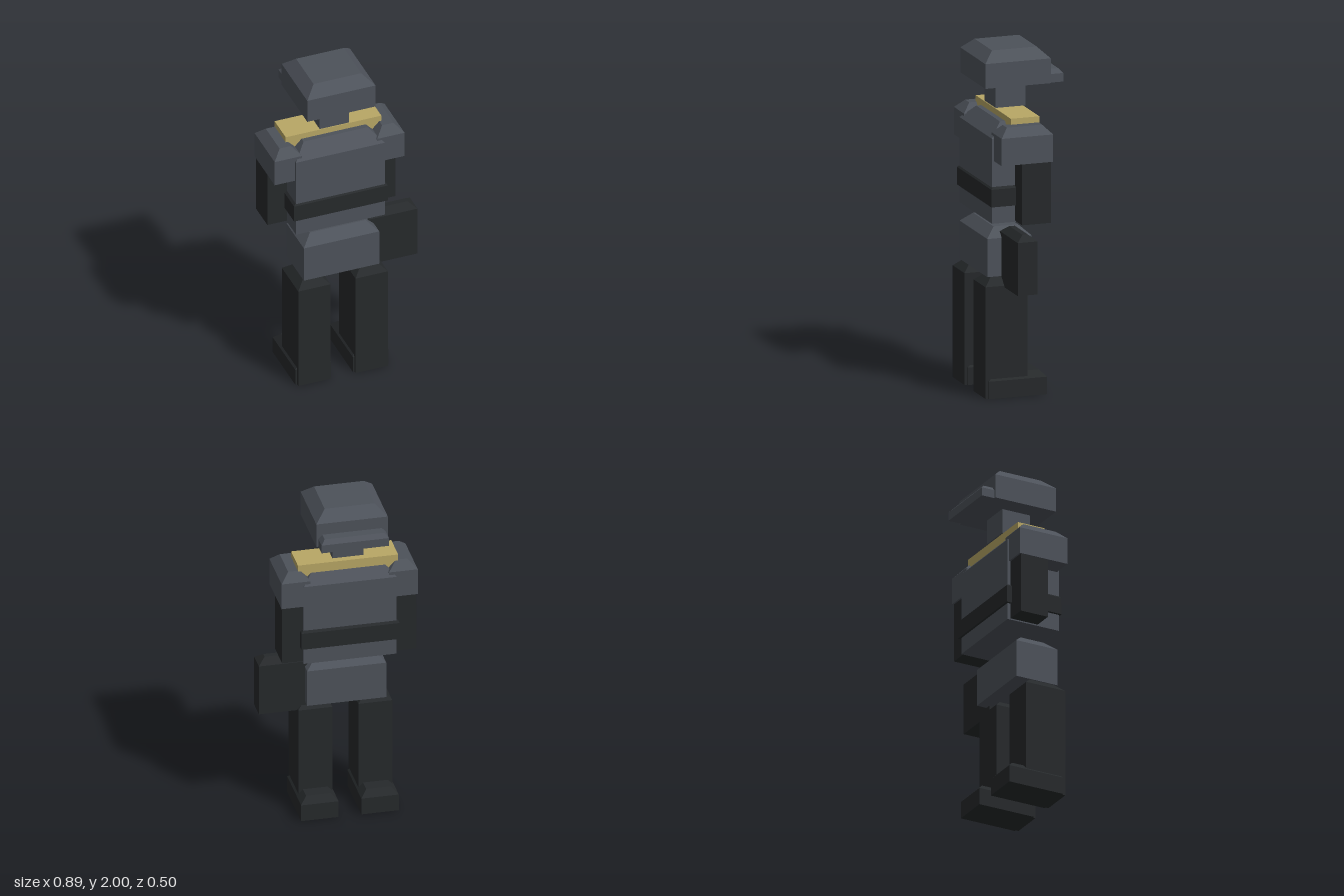
import * as THREE from 'three';

const GREY = new THREE.MeshStandardMaterial({ color: 0x4d525a, flatShading: true });
const DARK = new THREE.MeshStandardMaterial({ color: 0x26292b, flatShading: true });
const GOLD = new THREE.MeshStandardMaterial({ color: 0xb8a765, flatShading: true });

// Block between two limits per axis; its top edge slopes in by `inset` over the last `drop` of height
function block(name, material, [x0, x1], [y0, y1], [z0, z1], inset = 0, drop = 0) {
  const w = x1 - x0, h = y1 - y0, d = z1 - z0;
  const geometry = new THREE.BoxGeometry(w, h, d, 1, inset ? 2 : 1, 1);
  const p = geometry.attributes.position;
  if (inset) {
    for (let i = 0; i < p.count; i++) {
      const y = p.getY(i);
      if (Math.abs(y) < 1e-6) p.setY(i, h / 2 - drop);
      else if (y > 0) {
        p.setX(i, Math.sign(p.getX(i)) * (w / 2 - inset));
        p.setZ(i, Math.sign(p.getZ(i)) * (d / 2 - inset));
      }
    }
  }
  const flat = geometry.toNonIndexed();
  flat.computeVertexNormals();
  flat.translate((x0 + x1) / 2, (y0 + y1) / 2, (z0 + z1) / 2);
  const mesh = new THREE.Mesh(flat, material);
  mesh.name = name;
  return mesh;
}

export function createModel() {
  const model = new THREE.Group();
  model.name = 'blockFigure';
  const axis = -0.051; // the body's own centre line

  // Head with a rear brim, and neck
  model.add(
    block('head', GREY, [-0.26, 0.156], [1.795, 2], [-0.17, 0.225], 0.063, 0.06),
    block('brim', GREY, [-0.248, 0.144], [1.795, 1.87], [-0.25, -0.11], 0.023, 0.025),
    block('neck', GREY, [-0.143, 0.037], [1.647, 1.797], [-0.06, 0.12]),
  );

  // Trunk
  model.add(
    block('collar', GOLD, [-0.343, 0.24], [1.54, 1.63], [-0.07, 0.102]),
    block('torso', GREY, [-0.322, 0.219], [1.02, 1.595], [-0.125, 0.208], 0.075, 0.078),
    block('belt', DARK, [-0.337, 0.235], [1.12, 1.235], [-0.138, 0.217], 0.013, 0.012),
    block('pelvis', GREY, [-0.28, 0.18], [0.7, 0.978], [-0.045, 0.222], 0.06, 0.055),
    block('holster', DARK, [0.147, 0.447], [0.645, 0.99], [0.017, 0.135], 0.043, 0.035),
  );

  // Mirrored limbs
  for (const side of [-1, 1]) {
    const label = side > 0 ? 'left' : 'right';
    const span = (inner, outer) => {
      const a = axis + side * inner, b = axis + side * outer;
      return [Math.min(a, b), Math.max(a, b)];
    };
    model.add(
      block(label + 'Shoulder', GREY, span(0.229, 0.396), [1.385, 1.595], [-0.115, 0.195], 0.049, 0.05),
      block(label + 'Arm', DARK, span(0.235, 0.391), [1.028, 1.4], [-0.105, 0.07]),
      block(label + 'Leg', DARK, span(0.076, 0.273), [0, 0.7], [-0.005, 0.248], 0.05, 0.047),
      block(label + 'Foot', DARK, span(0.066, 0.284), [0, 0.14], [-0.12, 0.23], 0.037, 0.038),
    );
  }
  return model;
}
